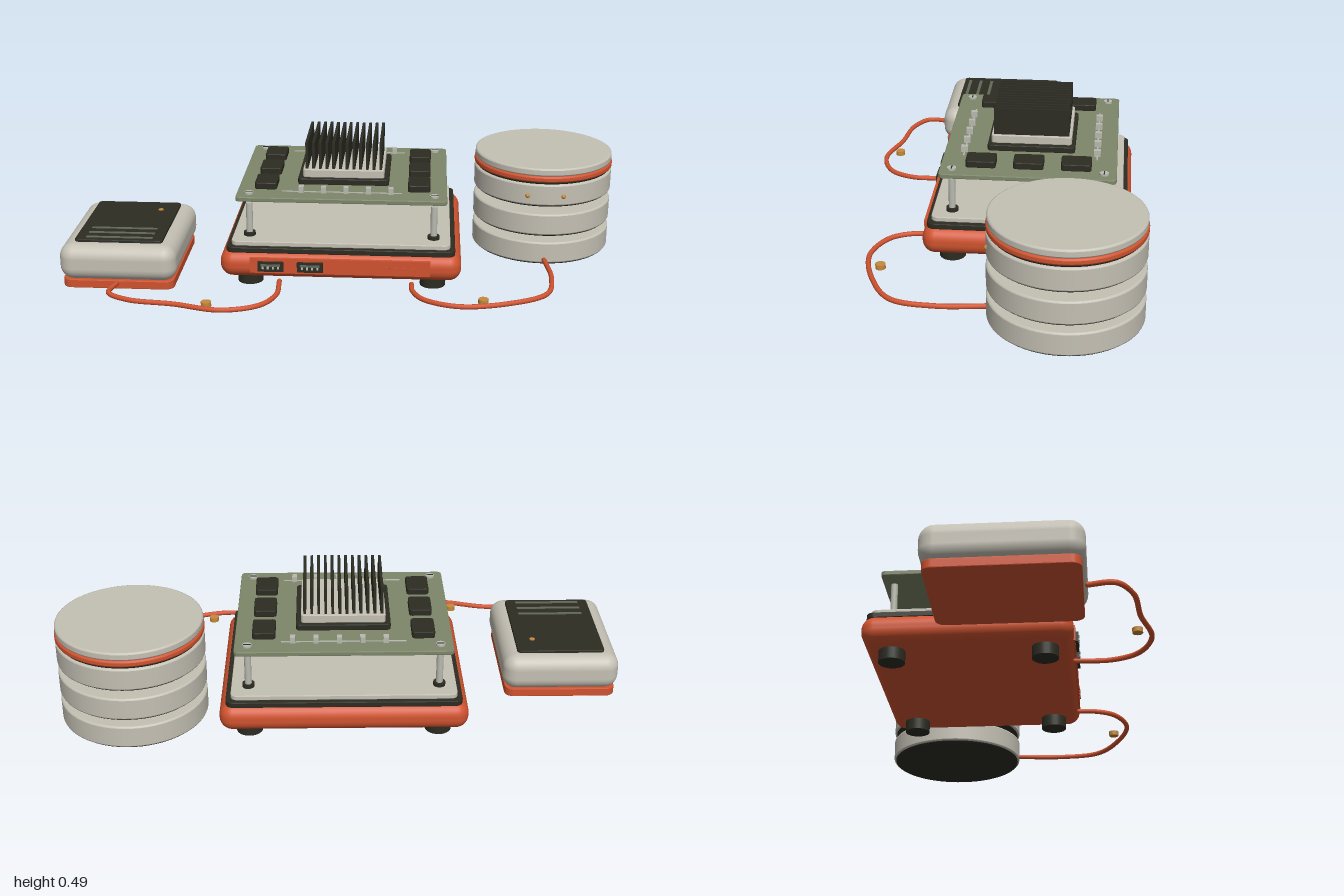
import * as THREE from 'three';
import { RoundedBoxGeometry } from 'three/addons/geometries/RoundedBoxGeometry.js';

const mat = (name, color) => Object.assign(new THREE.MeshStandardMaterial({ color }), { name });

export function createModel() {
  const orange = mat('orange shell', 0xd0532f);
  const grey = mat('warm grey', 0xc4c0b4);
  const dark = mat('charcoal', 0x2c2c23);
  const green = mat('board green', 0x7d866a);
  const gold = mat('brass', 0xc58a3c);
  const silver = mat('silver', 0xb9bab0);
  const trim = mat('grey green trim', 0x62685a);

  const model = new THREE.Group();
  model.name = 'explodedComputer';

  const group = (name, x = 0, z = 0) => {
    const g = new THREE.Group();
    g.name = name;
    g.position.set(x, 0, z);
    model.add(g);
    return g;
  };
  const add = (parent, name, geo, material, x, y, z) => {
    const m = new THREE.Mesh(geo, material);
    m.name = name;
    m.position.set(x, y, z);
    parent.add(m);
    return m;
  };
  const box = (p, name, m, w, h, d, x, y, z) =>
    add(p, name, new THREE.BoxGeometry(w, h, d), m, x, y, z);
  const cyl = (p, name, m, r, y0, y1, x, z, seg = 24) =>
    add(p, name, new THREE.CylinderGeometry(r, r, y1 - y0, seg), m, x, (y0 + y1) / 2, z);
  const round = (p, name, m, w, y0, y1, d, r) =>
    add(p, name, new RoundedBoxGeometry(w, y1 - y0, d, 5, r), m, 0, (y0 + y1) / 2, 0);

  // Flat plate with rounded corners and a small bevel, lying between y0 and y1
  const slab = (p, name, m, w, y0, y1, d, r, x = 0, z = 0) => {
    const b = 0.003, a = w / 2 - b, c = d / 2 - b;
    const s = new THREE.Shape();
    s.moveTo(-a + r, -c);
    s.lineTo(a - r, -c).absarc(a - r, -c + r, r, -Math.PI / 2, 0);
    s.lineTo(a, c - r).absarc(a - r, c - r, r, 0, Math.PI / 2);
    s.lineTo(-a + r, c).absarc(-a + r, c - r, r, Math.PI / 2, Math.PI);
    s.lineTo(-a, -c + r).absarc(-a + r, -c + r, r, Math.PI, Math.PI * 1.5);
    const geo = new THREE.ExtrudeGeometry(s, {
      depth: y1 - y0 - 2 * b, bevelThickness: b, bevelSize: b, bevelSegments: 2, curveSegments: 6,
    });
    geo.rotateX(-Math.PI / 2);
    return add(p, name, geo, m, x, y0 + b, z);
  };

  // Round slab with softened rims
  const disc = (p, name, m, r, y0, y1) => {
    const b = 0.006;
    const pts = [[0, y0], [r - b, y0], [r - b, y0], [r - b * 0.3, y0 + b * 0.3], [r, y0 + b], [r, y0 + b],
      [r, y1 - b], [r, y1 - b], [r - b * 0.3, y1 - b * 0.3], [r - b, y1], [r - b, y1], [0, y1]];
    return add(p, name, new THREE.LatheGeometry(pts.map(q => new THREE.Vector2(...q)), 64), m, 0, 0, 0);
  };

  // Main chassis
  const base = group('chassis', 0, -0.11);
  round(base, 'shell', orange, 0.86, 0.042, 0.142, 0.72, 0.045);
  slab(base, 'gasket', dark, 0.815, 0.136, 0.157, 0.69, 0.025);
  slab(base, 'topPlate', grey, 0.78, 0.157, 0.175, 0.66, 0.02);
  box(base, 'frontPanel', orange, 0.64, 0.056, 0.012, 0, 0.097, 0.358);
  for (const x of [-0.245, -0.105]) {
    box(base, 'portFrame', dark, 0.092, 0.036, 0.02, x, 0.096, 0.364);
    box(base, 'portTongue', trim, 0.07, 0.008, 0.004, x, 0.103, 0.375);
    for (let i = 0; i < 4; i++)
      box(base, 'portContact', silver, 0.007, 0.01, 0.004, x - 0.027 + i * 0.018, 0.094, 0.3755);
  }
  for (let i = 0; i < 4; i++)
    box(base, 'indicator', orange, 0.012, 0.008, 0.006, 0.17 + i * 0.03, 0.097, 0.365);

  // Feet, standoffs and board screws share the four corners
  for (const x of [-0.33, 0.33]) for (const z of [-0.262, 0.262]) {
    cyl(base, 'foot', dark, 0.046, 0, 0.05, x, z);
    cyl(base, 'standoffCollar', dark, 0.021, 0.175, 0.188, x, z);
    cyl(base, 'standoff', silver, 0.012, 0.188, 0.298, x, z);
    cyl(base, 'boardScrew', silver, 0.016, 0.331, 0.339, x, z);
    box(base, 'screwSlot', dark, 0.026, 0.002, 0.004, x, 0.3395, z);
  }

  // Circuit board
  const board = group('circuitBoard', 0, -0.11);
  slab(board, 'board', green, 0.75, 0.315, 0.332, 0.61, 0.012);
  for (const x of [-0.275, 0.275]) for (const z of [-0.165, 0, 0.165])
    slab(board, 'chip', dark, 0.08, 0.332, 0.357, 0.105, 0.008, x, z);
  for (const z of [-0.234, 0.234]) {
    box(board, 'trace', silver, 0.43, 0.003, 0.005, 0, 0.333, z);
    for (let i = 0; i < 5; i++)
      box(board, 'component', silver, 0.018, 0.022, 0.024, -0.145 + i * 0.08, 0.343, z);
  }

  // Processor and heat sink
  slab(board, 'socket', dark, 0.33, 0.332, 0.355, 0.31, 0.01);
  slab(board, 'heatSpreader', grey, 0.295, 0.355, 0.386, 0.285, 0.008);
  for (let i = 0; i < 12; i++)
    box(board, 'fin', dark, 0.01, 0.1, 0.266, -0.134 + i * 0.268 / 11, 0.435, 0);

  // Side unit
  const unit = group('sideUnit', -0.79, 0.052);
  slab(unit, 'unitBase', orange, 0.4, 0.01, 0.042, 0.48, 0.03);
  round(unit, 'unitBody', grey, 0.42, 0.036, 0.17, 0.505, 0.05);
  slab(unit, 'unitPanel', dark, 0.315, 0.164, 0.18, 0.4, 0.012, 0, -0.002);
  for (const z of [0.082, 0.128, 0.173])
    box(unit, 'panelLine', trim, 0.24, 0.003, 0.012, 0, 0.181, z);
  cyl(unit, 'panelLamp', gold, 0.01, 0.178, 0.183, 0.095, -0.117, 16);

  // Exploded round stack
  const stack = group('discStack', 0.74, -0.265);
  for (const y of [0.02, 0.13, 0.245]) {
    disc(stack, 'discBody', grey, 0.257, y + 0.004, y + 0.085);
    disc(stack, 'discUnderside', dark, 0.25, y - 0.002, y + 0.016);
  }
  disc(stack, 'lidSeal', dark, 0.25, 0.329, 0.346);
  disc(stack, 'lidBand', orange, 0.258, 0.338, 0.361);
  disc(stack, 'lid', grey, 0.255, 0.361, 0.39);
  for (const x of [-0.07, 0.06])
    add(stack, 'sideLamp', new THREE.SphereGeometry(0.009, 12, 8), gold, x, 0.285, Math.sqrt(0.256 ** 2 - x * x));

  // Cables, given as x, z points near the ground, each with a brass bead
  const cable = (name, pts, bead) => {
    const g = group(name);
    const curve = new THREE.CatmullRomCurve3(pts.map(([x, z]) => new THREE.Vector3(x, 0.038, z)));
    add(g, 'cord', new THREE.TubeGeometry(curve, 80, 0.009, 10), orange, 0, 0, 0);
    for (const [x, z] of [pts[0], pts[pts.length - 1]])
      add(g, 'cordEnd', new THREE.SphereGeometry(0.009, 10, 8), orange, x, 0.038, z);
    cyl(g, 'bead', gold, 0.018, 0.03, 0.047, ...bead, 20);
  };
  cable('leftUnitCable', [[-0.79, 0.305], [-0.8, 0.39], [-0.72, 0.445], [-0.56, 0.47], [-0.39, 0.51],
    [-0.265, 0.465], [-0.215, 0.375], [-0.215, 0.25]], [-0.445, 0.462]);
  cable('stackCable', [[0.74, -0.015], [0.755, 0.16], [0.725, 0.31], [0.59, 0.395], [0.42, 0.43],
    [0.3, 0.38], [0.26, 0.31], [0.255, 0.25]], [0.505, 0.38]);

  return model;
}
